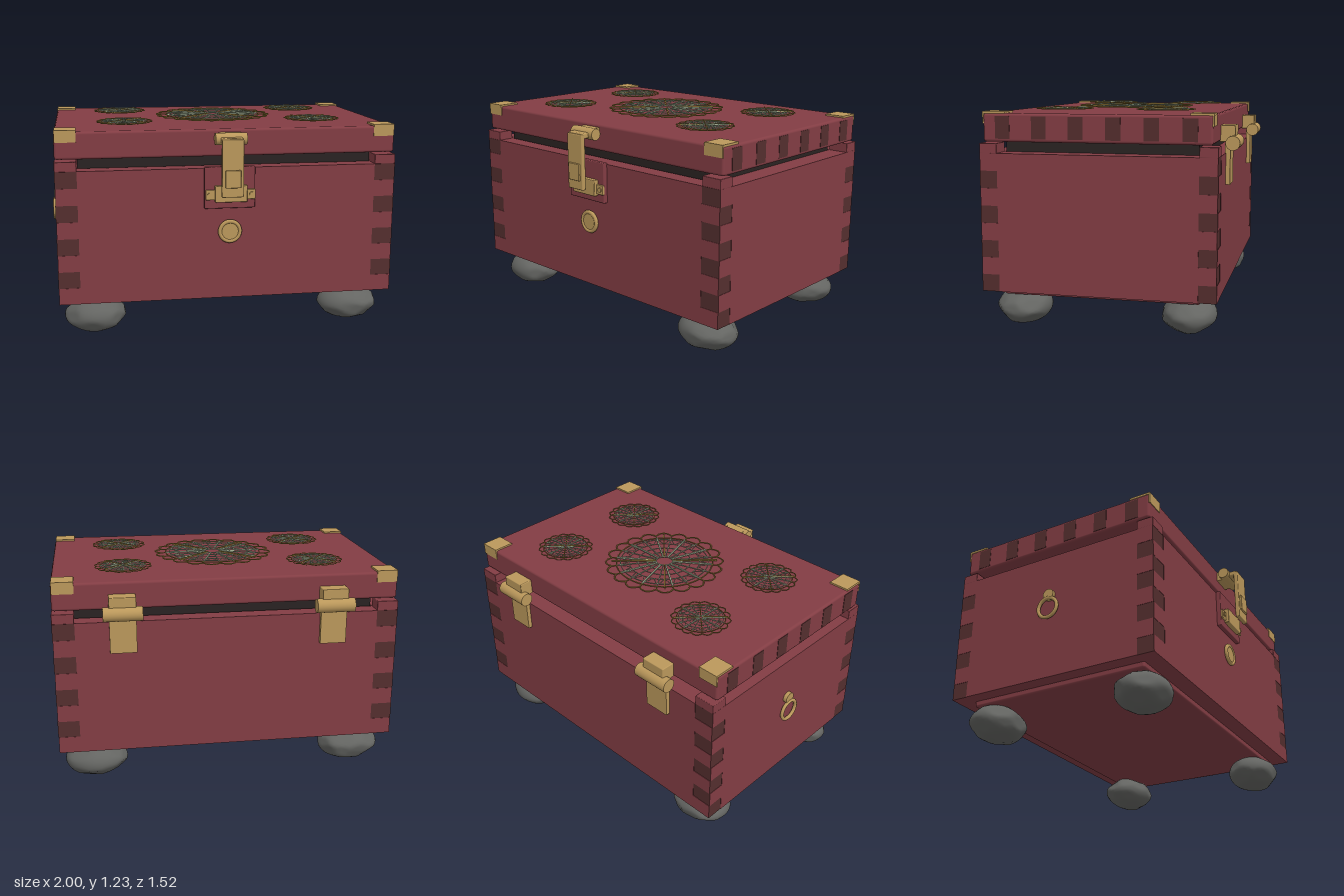
import * as THREE from 'three';
import { mergeGeometries, mergeVertices } from 'three/addons/utils/BufferGeometryUtils.js';
import { RoundedBoxGeometry } from 'three/addons/geometries/RoundedBoxGeometry.js';

const mat = (name, color) => Object.assign(new THREE.MeshStandardMaterial({ color }), { name });

export function createModel() {
  const red = mat('red wood', 0x833d44), endGrain = mat('dark end grain', 0x542e2e);
  const dark = mat('dark lining', 0x2a2322), gold = mat('brass', 0xbb985b);
  const stone = mat('grey stone', 0x646562), oldGold = mat('aged gold wire', 0xa0823c);
  const green = mat('pale green wire', 0xa8b698);

  const model = new THREE.Group();
  model.name = 'chest';
  const group = (name, parent = model) => {
    const g = new THREE.Group();
    g.name = name;
    parent.add(g);
    return g;
  };
  const add = (parent, name, geo, material, x = 0, y = 0, z = 0) => {
    const m = new THREE.Mesh(geo, material);
    m.name = name;
    m.position.set(x, y, z);
    parent.add(m);
    return m;
  };
  // box given by its min and max on each axis, optionally with rounded edges
  const block = (parent, name, material, [x0, x1], [y0, y1], [z0, z1], r = 0) => {
    const s = [x1 - x0, y1 - y0, z1 - z0];
    const geo = r ? new RoundedBoxGeometry(...s, 2, r) : new THREE.BoxGeometry(...s);
    return add(parent, name, geo, material, (x0 + x1) / 2, (y0 + y1) / 2, (z0 + z1) / 2);
  };
  const rod = (r, len, axis, seg = 24) => {
    const g = new THREE.CylinderGeometry(r, r, len, seg);
    if (axis === 'x') g.rotateZ(Math.PI / 2);
    if (axis === 'z') g.rotateX(Math.PI / 2);
    return g;
  };

  const X0 = -0.967, X1 = 0.997, Z0 = -0.68, Z1 = 0.63, TX = 0.123, TZ = 0.1;
  const Y0 = 0.22, ROW = 0.0963, CX = 0.017;

  // Body: eight rows of planks with interlocking corner fingers
  const body = group('body');
  block(body, 'basePanel', red, [-0.885, 0.915], [0.187, 0.23], [-0.58, 0.53], 0.012);
  block(body, 'lining', dark, [-0.84, 0.875], [0.225, 1.045], [-0.562, 0.52]);
  const xEnds = [endGrain, endGrain, red, red, red, red];
  const zEnds = [red, red, red, red, endGrain, endGrain];
  for (let i = 0; i < 8; i++) {
    const y = [Y0 + i * ROW, Y0 + (i + 1) * ROW];
    const longFront = i % 2 === 0;
    const xs = longFront ? [X0 + 0.002, X1 - 0.002] : [X0 + TX, X1 - TX];
    const zs = longFront ? [Z0 + TZ, Z1 - TZ] : [Z0 + 0.002, Z1 - 0.002];
    block(body, 'frontPlank', xEnds, xs, y, [Z1 - TZ, Z1]);
    block(body, 'backPlank', xEnds, xs, y, [Z0, Z0 + TZ]);
    block(body, 'rightPlank', zEnds, [X0, X0 + TX], y, zs);
    block(body, 'leftPlank', zEnds, [X1 - TX, X1], y, zs);
  }
  for (const x of [[X0, X0 + TX], [X1 - TX, X1]])
    for (const z of [[Z0, Z0 + TZ], [Z1 - TZ, Z1]])
      block(body, 'cornerPost', red, x, [Y0 + 8 * ROW - 0.002, 1.045], z, 0.004);

  // Lid with end-grain strips on both sides
  const lid = group('lid');
  block(lid, 'lidPanel', red, [-0.965, 0.994], [1.053, 1.208], [-0.65, 0.606], 0.015);
  for (let i = 0; i < 6; i++) {
    const z = 0.495 - i * 0.2053;
    for (const x of [-0.965, 0.994])
      block(lid, 'endGrainStrip', endGrain, [x - 0.002, x + 0.002], [1.07, 1.192], [z - 0.041, z + 0.041]);
  }
  // Brass corner brackets: a top plate folded over the front or back
  for (const x of [[-0.962, -0.842], [0.868, 0.99]])
    for (const [z, f] of [[[0.48, 0.61], 0.606], [[-0.655, -0.53], -0.65]]) {
      block(lid, 'bracketTop', gold, x, [1.206, 1.218], z);
      block(lid, 'bracketFold', gold, x, [1.15, 1.215], [f - 0.004, f + 0.004]);
    }

  // Filigree rosettes made of thin wire
  const ring = (r, t, seg = 64) => new THREE.TorusGeometry(r, t, 6, seg).rotateX(Math.PI / 2);
  const wave = (fn, count, t) => {
    const pts = [];
    for (let i = 0; i < count; i++) {
      const a = (i / count) * Math.PI * 2, r = fn(a);
      pts.push(new THREE.Vector3(Math.cos(a) * r, 0, Math.sin(a) * r));
    }
    return new THREE.TubeGeometry(new THREE.CatmullRomCurve3(pts, true), count * 2, t, 6, true);
  };
  const spoke = (r0, r1, a, t) =>
    new THREE.BoxGeometry(r1 - r0, t, t).translate((r0 + r1) / 2, 0, 0).rotateY(a);
  const rosette = (name, x, z, R, n, hub, t) => {
    const g = group(name, lid);
    g.position.set(x, 1.222, z);
    const scallop = (k, depth) => a => R * (k - depth + depth * Math.abs(Math.sin(a * n / 2)));
    const outer = [wave(scallop(1, 0.09), n * 8, t * 0.8), ring(R * 0.82, t * 0.7)];
    const inner = [0.3, 0.45, 0.6, 0.75].map(k => ring(R * k, t * 0.5));
    inner.push(ring(hub, t * 0.7));
    inner.push(wave(a => R * (0.675 + 0.07 * Math.cos(a * n)), n * 8, t * 0.4));
    for (let i = 0; i < n; i++) {
      const a = (i / n) * Math.PI * 2;
      inner.push(spoke(hub, R * 0.82, a, t * (i % 2 ? 1 : 1.6)));
      // pointed petals between the rim and the ring
      outer.push(spoke(R * 0.82, R * 0.91, a, t));
    }
    add(g, 'scallopedRim', mergeGeometries(outer), oldGold);
    add(g, 'wireLace', mergeGeometries(inner), green, 0, 0.003, 0);
    // long gold ribs on the diagonals
    const ribs = [0, 1, 2, 3].map(i => spoke(hub, R * 0.9, (i + 0.5) * Math.PI / 2, t * 1.6));
    add(g, 'diagonalRibs', mergeGeometries(ribs), oldGold, 0, 0.006, 0);
  };
  rosette('largeRosette', CX, -0.028, 0.355, 20, 0.05, 0.005);
  for (const x of [-0.555, 0.585])
    for (const z of [-0.327, 0.266]) rosette('smallRosette', x, z, 0.165, 16, 0.012, 0.0035);

  // Front latch
  const latch = group('latch');
  block(latch, 'backPlate', red, [-0.132, 0.16], [0.76, 1.0], [0.625, 0.656], 0.006);
  block(latch, 'lidMount', gold, [-0.046, 0.08], [1.13, 1.19], [0.6, 0.65]);
  add(latch, 'pivot', rod(0.034, 0.18, 'x'), gold, CX, 1.16, 0.66);
  block(latch, 'topLink', gold, [-0.046, 0.078], [1.14, 1.172], [0.67, 0.735], 0.008);
  block(latch, 'bar', gold, [-0.046, 0.078], [0.84, 1.165], [0.718, 0.745], 0.006);
  block(latch, 'thumbPad', gold, [-0.028, 0.06], [0.895, 0.995], [0.74, 0.757], 0.004);
  block(latch, 'catchPlate', gold, [-0.126, 0.16], [0.812, 0.87], [0.65, 0.667], 0.004);
  block(latch, 'catchBlock', gold, [-0.075, 0.11], [0.8, 0.895], [0.65, 0.685], 0.005);
  for (const x of [-0.104, 0.138])
    add(latch, 'screw', rod(0.014, 0.01, 'z', 12), gold, x, 0.842, 0.669);

  // Round keyhole cover
  const knob = group('frontKnob');
  add(knob, 'disc', rod(0.056, 0.02, 'z'), gold, CX, 0.622, 0.638);
  add(knob, 'rim', new THREE.TorusGeometry(0.058, 0.012, 8, 32), gold, CX, 0.622, 0.643);

  // Drop ring on the right side
  const handle = group('sideRing');
  add(handle, 'mount', rod(0.034, 0.03, 'x'), gold, -0.975, 0.727, -0.03);
  add(handle, 'ring', new THREE.TorusGeometry(0.061, 0.011, 8, 32).rotateY(Math.PI / 2), gold, -0.988, 0.642, -0.03);

  // Back hinges
  for (const x of [-0.582, 0.61]) {
    const hinge = group('hinge');
    block(hinge, 'upperLeaf', gold, [x - 0.075, x + 0.075], [1.05, 1.14], [-0.73, -0.645], 0.005);
    block(hinge, 'lowerLeaf', gold, [x - 0.075, x + 0.075], [0.815, 1.04], [-0.704, -0.675]);
    add(hinge, 'knuckle', rod(0.04, 0.218, 'x'), gold, x, 1.045, -0.72);
  }

  // Rough stone feet: an ellipsoid chipped by random planes
  let seed = 7;
  const random = () => (seed = (seed * 16807) % 2147483647) / 2147483647;
  const rock = () => {
    const src = new THREE.IcosahedronGeometry(1, 7);
    src.deleteAttribute('uv');
    src.deleteAttribute('normal');
    const g = mergeVertices(src, 1e-4), p = g.attributes.position, v = new THREE.Vector3();
    const chips = Array.from({ length: 34 }, () => ({
      n: new THREE.Vector3(random() - 0.5, random() - 0.5, random() - 0.5).normalize(),
      d: 0.92 + 0.06 * random(),
    }));
    for (let i = 0; i < p.count; i++) {
      v.fromBufferAttribute(p, i);
      const k = Math.min(1.02, ...chips.map(({ n, d }) => (v.dot(n) > 0.5 ? d / v.dot(n) : 2)));
      p.setXYZ(i, v.x * k * 0.18, v.y * k * 0.104, v.z * k * 0.152);
    }
    g.computeVertexNormals();
    return g;
  };
  for (const x of [-0.757, 0.785])
    for (const z of [0.455, -0.503]) add(model, 'stoneFoot', rock(), stone, x, 0.104, z);

  return model;
}
